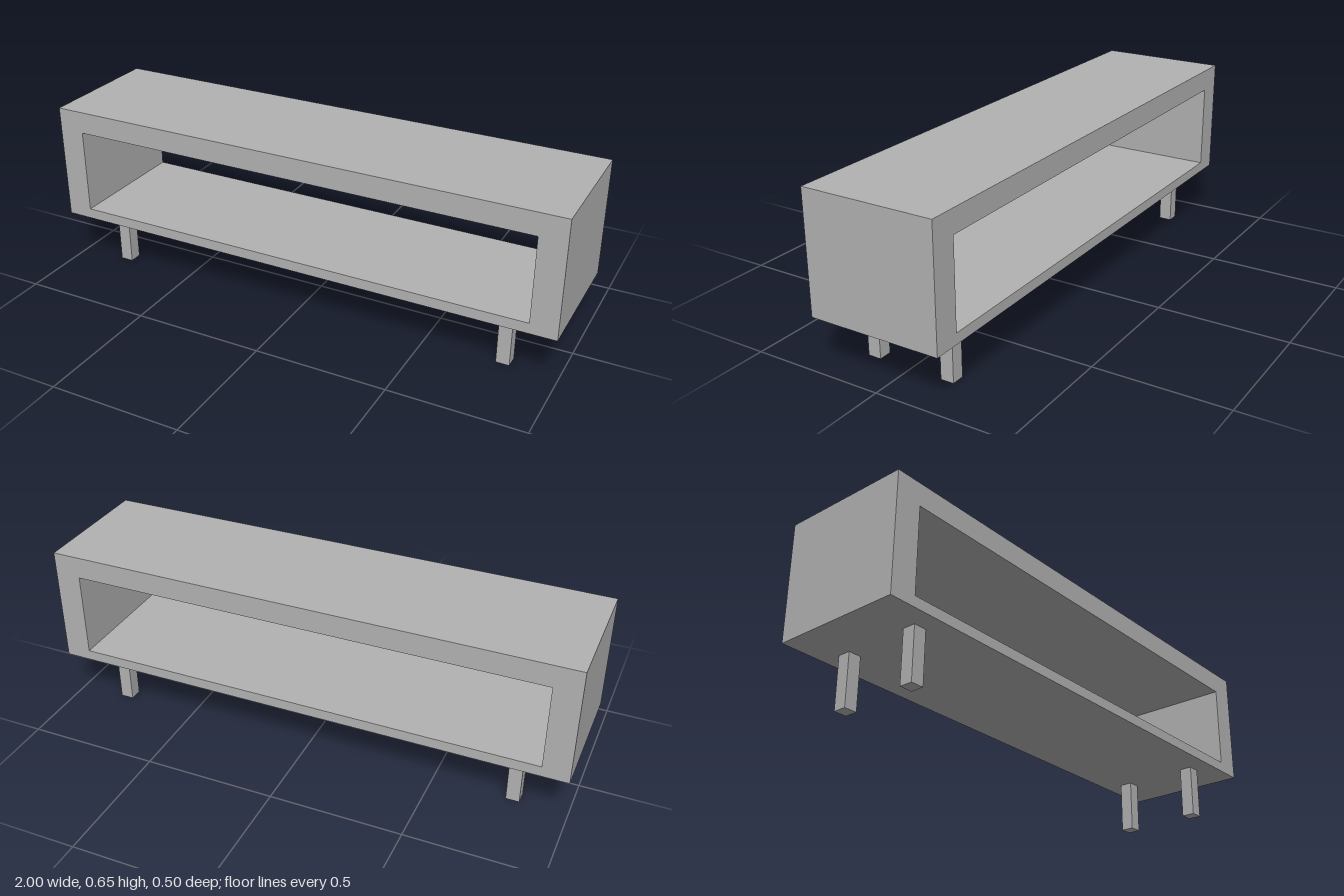
import * as THREE from 'three';

export function createModel() {
  const group = new THREE.Group();
  const grey = new THREE.MeshStandardMaterial({ name: 'grey', color: 0xb2b2b2 });

  const bottom = 0.2, top = 0.65, depth = 0.5;

  // Rectangle corners, counter-clockwise
  const rect = (x, y0, y1) => [[-x, y0], [x, y0], [x, y1], [-x, y1]].map(([a, b]) => new THREE.Vector2(a, b));

  // Cabinet body: a rectangular frame open at the front and back
  const outline = new THREE.Shape(rect(1, bottom, top));
  outline.holes.push(new THREE.Path(rect(0.9, 0.24, 0.565)));
  const bodyGeometry = new THREE.ExtrudeGeometry(outline, { depth, bevelEnabled: false });
  bodyGeometry.translate(0, 0, -depth / 2);
  const body = new THREE.Mesh(bodyGeometry, grey);
  body.name = 'cabinetBody';
  group.add(body);

  // Four square legs
  const legGeometry = new THREE.BoxGeometry(0.05, bottom, 0.05);
  for (const [sx, side] of [[1, 'Left'], [-1, 'Right']]) {
    for (const [sz, end] of [[1, 'front'], [-1, 'back']]) {
      const leg = new THREE.Mesh(legGeometry, grey);
      leg.name = `${end}${side}Leg`;
      leg.position.set(sx * 0.8, bottom / 2, sz * 0.15);
      group.add(leg);
    }
  }
  return group;
}
